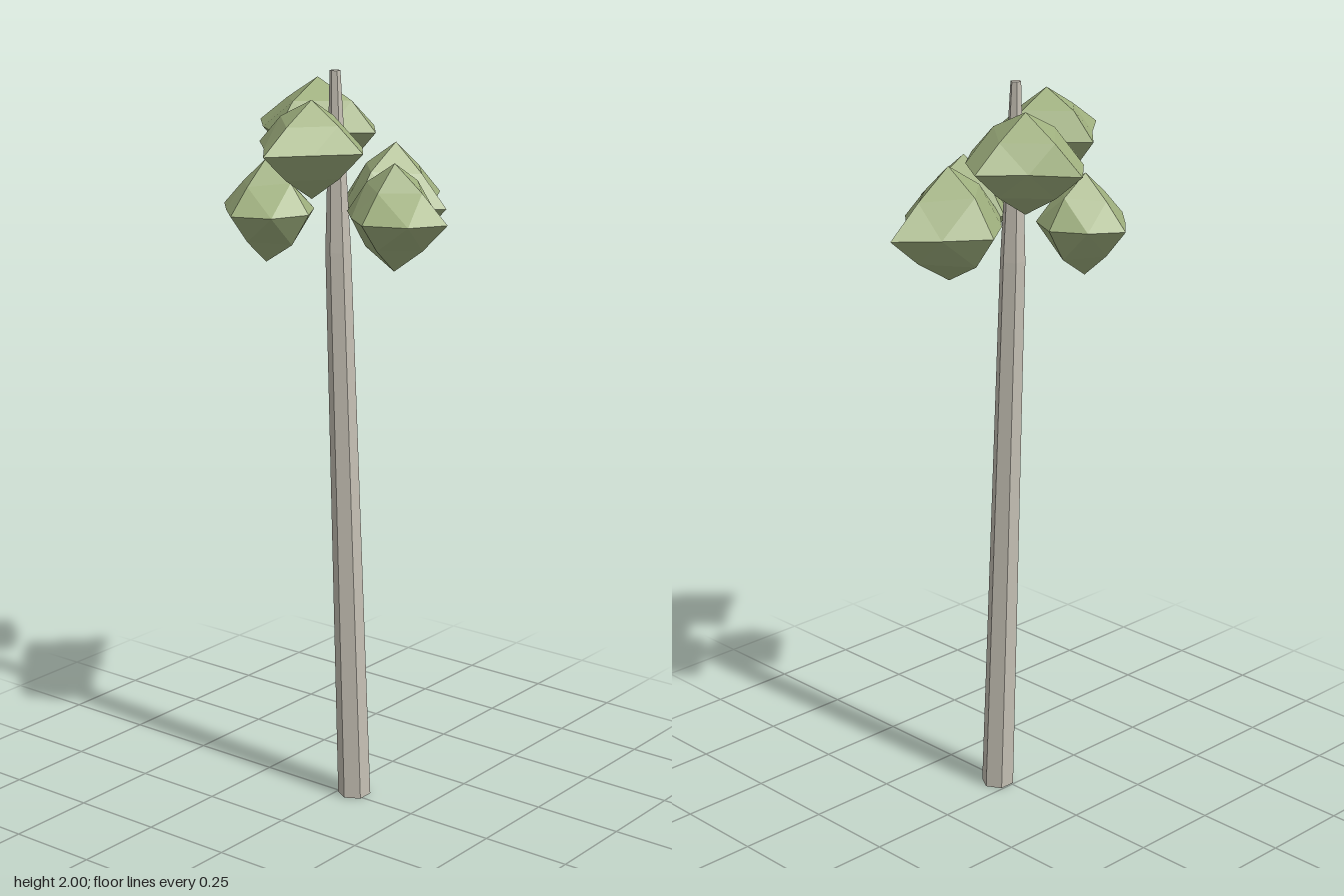
import * as THREE from 'three';

const bark = new THREE.MeshStandardMaterial({ color: 0xc4bfb3, flatShading: true });
const leaf = new THREE.MeshStandardMaterial({ color: 0xa0b17f, flatShading: true });

// Leaning six-sided trunk lofted through rings of [x, y, z, radius]
function trunkGeometry(rings) {
  const sides = 6;
  const geo = new THREE.CylinderGeometry(1, 1, 1, sides, rings.length - 1);
  const pos = geo.attributes.position;
  for (let i = 0; i < pos.count; i++) {
    const k = Math.round((pos.getY(i) + 0.5) * (rings.length - 1));
    const [x, y, z, r] = rings[k];
    pos.setXYZ(i, x + pos.getX(i) * r, y, z + pos.getZ(i) * r);
  }
  const flat = geo.toNonIndexed();
  flat.computeVertexNormals();
  return flat;
}

// Faceted clump: an uneven octahedron with every face split in four.
// bulge: how far the mid-edge points stand out, 1 = straight edge;
// horizontal order: (+x+z), (-x+z), (-x-z), (+x-z)
function clumpGeometry({ c, x, y, z, bulge }) {
  const tip = (axis, v) => new THREE.Vector3().setComponent(axis, v - c[axis]);
  const X = [tip(0, x[0]), tip(0, x[1])];
  const Y = [tip(1, y[0]), tip(1, y[1])];
  const Z = [tip(2, z[0]), tip(2, z[1])];
  const mid = (a, b, f) => a.clone().add(b).multiplyScalar(0.5 * f);
  // points on the trunk side swell a little more
  const rise = (v, level) => {
    const inward = v.x * c[0] + v.z * c[2] < 0 ? 0.14 : 0;
    return mid(v, Y[level], (level ? 1.04 : 1.08) + inward);
  };
  const out = [];
  const tri = (a, b, d) => out.push(...a.toArray(), ...b.toArray(), ...d.toArray());
  const ring = [X[1], Z[1], X[0], Z[0]];
  for (let i = 0; i < 4; i++) {
    const a = ring[i], b = ring[(i + 1) % 4];
    const m = mid(a, b, bulge[i]);
    for (const level of [0, 1]) {
      const ma = rise(a, level), mb = rise(b, level), p = Y[level];
      const faces = [[a, ma, m], [m, mb, b], [m, ma, mb], [ma, p, mb]];
      for (const [u, v, w] of faces) level ? tri(u, v, w) : tri(u, w, v);
    }
  }
  const geo = new THREE.BufferGeometry();
  geo.setAttribute('position', new THREE.Float32BufferAttribute(out, 3));
  geo.computeVertexNormals();
  return geo;
}

export function createModel() {
  const model = new THREE.Group();
  model.name = 'tree';

  const trunk = new THREE.Mesh(trunkGeometry([
    [0.043, 0, -0.015, 0.045],
    [0.0, 1.53, 0.002, 0.034],
    [-0.008, 2, 0.005, 0.014],
  ]), bark);
  trunk.name = 'trunk';
  model.add(trunk);

  // Foliage clumps: centre, then the reach along each axis
  const foliage = new THREE.Group();
  foliage.name = 'foliage';
  const clumps = [
    { c: [-0.153, 1.83, -0.105], x: [-0.35, 0.04], y: [1.70, 1.96], z: [-0.28, 0.07], bulge: [1.03, 1.1, 0.9, 1.15] },
    { c: [0.055, 1.83, 0.18], x: [-0.115, 0.218], y: [1.70, 1.95], z: [0.03, 0.37], bulge: [0.98, 0.95, 1.0, 1.15] },
    { c: [0.055, 1.64, -0.173], x: [-0.11, 0.22], y: [1.50, 1.80], z: [-0.373, 0.01], bulge: [1.05, 1.1, 1.05, 0.82] },
    { c: [0.183, 1.64, 0.003], x: [0.03, 0.35], y: [1.50, 1.78], z: [-0.165, 0.14], bulge: [1.32, 1.08, 1.0, 0.95] },
    { c: [-0.153, 1.64, 0.112], x: [-0.295, -0.01], y: [1.50, 1.77], z: [-0.02, 0.253], bulge: [1.4, 1.03, 1.2, 1.3] },
  ];
  for (const spec of clumps) {
    const clump = new THREE.Mesh(clumpGeometry(spec), leaf);
    clump.name = 'leafClump';
    clump.position.set(...spec.c);
    foliage.add(clump);
  }
  model.add(foliage);
  return model;
}
